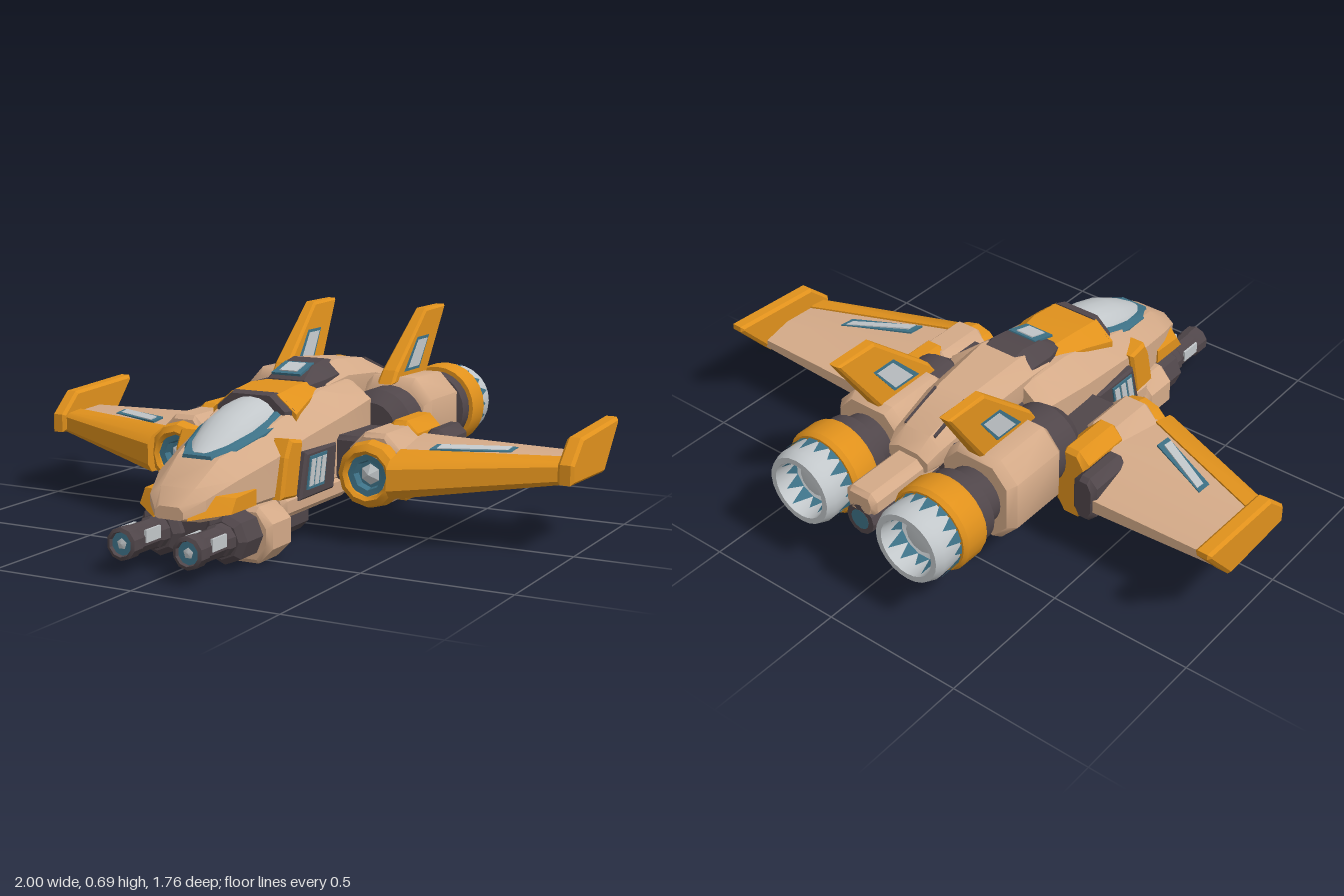
import * as THREE from 'three';
import { toCreasedNormals } from 'three/addons/utils/BufferGeometryUtils.js';

const mat = (name, color) => Object.assign(new THREE.MeshStandardMaterial({ color }), { name });

// Skin a list of [z, [[x, y], ...]] rings, ordered front to back, counter-clockwise seen from +z
function skin(rings, crease = 0.6) {
  const n = rings[0][1].length, pos = [], idx = [];
  rings.forEach(([z, pts]) => pts.forEach(([x, y]) => pos.push(x, y, z)));
  for (let i = 0; i < rings.length - 1; i++) {
    for (let j = 0; j < n; j++) {
      const a = i * n + j, b = i * n + (j + 1) % n;
      idx.push(a, a + n, b, b, a + n, b + n);
    }
  }
  const last = (rings.length - 1) * n;
  for (let j = 1; j < n - 1; j++) {
    idx.push(0, j, j + 1, last, last + j + 1, last + j);
  }
  const g = new THREE.BufferGeometry();
  g.setAttribute('position', new THREE.Float32BufferAttribute(pos, 3));
  g.setIndex(idx);
  return toCreasedNormals(g, crease);
}

// Eight-sided hull: rows of [z, halfWidth, bottom, lowerSide, upperSide, top, topHalf, bottomHalf]
const hull = (rows, cx = 0, crease = 0.6) => skin(rows.map(([z, w, y0, y1, y2, y3, t, b]) =>
  [z, [[b, y0], [w, y1], [w, y2], [t, y3], [-t, y3], [-w, y2], [-w, y1], [-b, y0]].map(([x, y]) => [x + cx, y])]), crease);

// Chamfered block along z, slightly pinched at both ends
function block(cx, w, y0, y1, zf, zb, c = 0.03, e = 0.015) {
  const row = (z, d) => [z, w - d, y0 + d, y0 + c + d, y1 - c - d, y1 - d, w - c, w - c];
  return hull([row(zf, e), row(zf - e, 0), row(zb + e, 0), row(zb, e)], cx);
}

// Rings given as [x, [[z, y], ...]], skinned along the span from the tip inward
const span = (rings) => skin(rings.map(([x, pts]) => [x, pts.map(([z, y]) => [-z, y])])).rotateY(Math.PI / 2);

// Side-profile plate from [z, y] points, with thickness along x
function sidePlate(pts, thick, cx, bevel = 0) {
  const shape = new THREE.Shape(pts.map(([z, y]) => new THREE.Vector2(-z, y)));
  const g = new THREE.ExtrudeGeometry(shape, { depth: thick - 2 * bevel, bevelEnabled: bevel > 0,
    bevelSize: bevel, bevelThickness: bevel, bevelOffset: -bevel, bevelSegments: 1 });
  return g.translate(0, 0, bevel - thick / 2).rotateY(Math.PI / 2).translate(cx, 0, 0);
}

// Lathe around the z axis: [radius, z] points from front to back
const turned = (pts, cx, cy, seg = 24) => toCreasedNormals(
  new THREE.LatheGeometry(pts.map(([r, z]) => new THREE.Vector2(r, -z)).map((p) => p), seg)
    .rotateX(-Math.PI / 2).translate(cx, cy, 0), 0.5);

function flipped(geo) {
  const g = (geo.index ? geo.toNonIndexed() : geo.clone()).scale(-1, 1, 1);
  for (const key of ['position', 'normal']) {
    const a = g.attributes[key].array;
    for (let i = 0; i < a.length; i += 9) {
      for (let k = 3; k < 6; k++) [a[i + k], a[i + k + 3]] = [a[i + k + 3], a[i + k]];
    }
  }
  return g;
}

export function createModel() {
  const model = new THREE.Group();
  const tan = mat('tan hull', 0xd4aa88), orange = mat('orange trim', 0xe0911c);
  const dark = mat('dark metal', 0x50464a), light = mat('pale grey', 0xc2c7ca), teal = mat('teal', 0x3d7186);
  [tan, orange, dark, light, teal].forEach((m) => { m.side = THREE.DoubleSide; });
  const add = (name, geo, m) => {
    const mesh = new THREE.Mesh(geo, m);
    mesh.name = name;
    model.add(mesh);
  };
  const pair = (name, geo, m) => {
    add(name + 'Left', geo, m);
    add(name + 'Right', flipped(geo), m);
  };

  // Fuselage
  add('fuselage', hull([
    [0.79, 0.05, 0.175, 0.18, 0.2, 0.215, 0.035, 0.04],
    [0.74, 0.1, 0.165, 0.185, 0.235, 0.265, 0.06, 0.08],
    [0.62, 0.145, 0.16, 0.19, 0.28, 0.34, 0.075, 0.11],
    [0.45, 0.18, 0.16, 0.2, 0.32, 0.385, 0.11, 0.13],
    [0.28, 0.195, 0.16, 0.2, 0.36, 0.435, 0.13, 0.14],
    [0.05, 0.215, 0.16, 0.2, 0.4, 0.475, 0.12, 0.14],
    [-0.13, 0.22, 0.16, 0.2, 0.43, 0.49, 0.13, 0.14],
    [-0.18, 0.2, 0.17, 0.21, 0.42, 0.48, 0.12, 0.13]]), tan);
  add('rearHull', block(0, 0.13, 0.18, 0.46, -0.15, -0.52, 0.05), dark);
  add('spine', hull([
    [-0.02, 0.11, 0.42, 0.44, 0.48, 0.53, 0.07, 0.11],
    [-0.15, 0.125, 0.42, 0.44, 0.5, 0.553, 0.075, 0.12],
    [-0.38, 0.115, 0.4, 0.42, 0.48, 0.53, 0.06, 0.11],
    [-0.56, 0.095, 0.38, 0.39, 0.44, 0.475, 0.05, 0.09],
    [-0.61, 0.08, 0.37, 0.38, 0.41, 0.43, 0.04, 0.07]]), tan);
  pair('spineGroove', sidePlate([[-0.4, 0.515], [-0.55, 0.468], [-0.55, 0.476], [-0.4, 0.53]], 0.008, 0.06), dark);

  // Tail boom with small exhaust
  add('tailBoom', block(0, 0.062, 0.32, 0.41, -0.5, -0.84, 0.025), tan);
  add('tailExhaust', turned([[0.055, -0.5], [0.055, -0.84], [0.035, -0.84], [0.03, -0.8], [0, -0.8]], 0, 0.3, 12), dark);
  add('tailExhaustGlow', turned([[0.036, -0.842], [0, -0.842]], 0, 0.3, 12), teal);

  // Canopy, its frame and the band behind it
  const dome = (rows, d) => skin(rows.map(([z, w, y0, y1]) => {
    const pts = [];
    for (let i = 0; i <= 10; i++) {
      const a = Math.PI * i / 10;
      pts.push([(w + d) * Math.cos(a), y0 + (y1 + d - y0) * Math.sin(a) ** 0.8]);
    }
    return [z, pts];
  }), 0.9);
  add('canopyGlass', dome([[0.615, 0.045, 0.32, 0.352], [0.55, 0.08, 0.33, 0.395], [0.45, 0.105, 0.345, 0.446],
    [0.36, 0.112, 0.36, 0.472], [0.28, 0.105, 0.37, 0.485]], 0), light);
  add('canopyFrame', hull([[0.63, 0.055, 0.3, 0.31, 0.33, 0.345, 0.05, 0.05], [0.55, 0.096, 0.3, 0.31, 0.355, 0.37, 0.08, 0.09],
    [0.42, 0.124, 0.3, 0.31, 0.39, 0.405, 0.1, 0.11], [0.28, 0.13, 0.3, 0.31, 0.42, 0.445, 0.1, 0.11]]), teal);
  add('canopyArch', hull([[0.3, 0.125, 0.38, 0.4, 0.44, 0.488, 0.07, 0.12],
    [0.265, 0.145, 0.38, 0.4, 0.44, 0.495, 0.08, 0.14]]), dark);
  add('cockpitBand', hull([[0.275, 0.155, 0.38, 0.39, 0.43, 0.49, 0.085, 0.15], [0.15, 0.135, 0.4, 0.42, 0.46, 0.504, 0.085, 0.13],
    [0.03, 0.105, 0.42, 0.44, 0.47, 0.5, 0.07, 0.1]]), orange);
  add('dorsalCap', hull([[0.06, 0.085, 0.44, 0.46, 0.49, 0.505, 0.065, 0.08], [-0.01, 0.105, 0.44, 0.46, 0.5, 0.545, 0.06, 0.1],
    [-0.1, 0.11, 0.44, 0.46, 0.51, 0.56, 0.06, 0.1], [-0.155, 0.11, 0.44, 0.46, 0.5, 0.55, 0.06, 0.1]]), dark);
  const hatch = (w, y, l) => new THREE.BoxGeometry(w, 0.008, l).rotateX(0.27).translate(0, y, 0.017);
  add('dorsalHatch', hatch(0.11, 0.536, 0.1), teal);
  add('dorsalWindow', hatch(0.065, 0.54, 0.07), light);

  // Nose cheeks, side straps and louvred side panels
  pair('noseCheek', span([[0.165, [[0.7, 0.19], [0.55, 0.19], [0.55, 0.24], [0.67, 0.235]]],
    [0.06, [[0.785, 0.175], [0.55, 0.17], [0.55, 0.26], [0.74, 0.25]]]]), orange);
  pair('sideStrap', sidePlate([[0.46, 0.19], [0.36, 0.18], [0.32, 0.36], [0.4, 0.375], [0.43, 0.32]], 0.07, 0.172, 0.01), orange);
  pair('sidePanel', sidePlate([[0.36, 0.17], [0.13, 0.17], [0.11, 0.32], [0.32, 0.32]], 0.05, 0.193, 0.008), dark);
  pair('louvreBacking', sidePlate([[0.325, 0.2], [0.21, 0.2], [0.19, 0.305], [0.3, 0.305]], 0.008, 0.219), teal);
  for (let i = 0; i < 3; i++) {
    const z = 0.315 - i * 0.036;
    pair('louvre' + i, sidePlate([[z, 0.21], [z - 0.025, 0.21], [z - 0.045, 0.295], [z - 0.02, 0.295]], 0.008, 0.222), light);
  }

  // Belly
  add('gunCradle', block(0, 0.14, 0.07, 0.18, 0.64, 0.3), dark);
  add('bellyKeel', block(0, 0.13, 0.085, 0.2, 0.32, -0.16), dark);
  pair('bellyPod', block(0.085, 0.055, 0.03, 0.14, 0.3, 0.15, 0.03), dark);
  pair('bellyRail', block(0.16, 0.045, 0.12, 0.2, 0.44, 0.0, 0.02), tan);
  add('bellyRear', block(0, 0.1, 0.12, 0.24, -0.14, -0.38, 0.03), tan);
  add('rearSkid', block(0, 0.07, 0.17, 0.25, -0.36, -0.52, 0.03), dark);

  // Nose guns
  pair('gunCowl', block(0.13, 0.093, 0.005, 0.185, 0.565, 0.42, 0.05), tan);
  pair('gunHousing', turned([[0, 0.68], [0.06, 0.68], [0.08, 0.66], [0.08, 0.4], [0, 0.4]], 0.118, 0.1, 8), dark);
  pair('gunBarrel', turned([[0.036, 0.865], [0.04, 0.88], [0.052, 0.875], [0.052, 0.83], [0.047, 0.82], [0.047, 0.72],
    [0.053, 0.71], [0.053, 0.66]], 0.118, 0.103, 10), dark);
  pair('gunMuzzle', turned([[0, 0.868], [0.04, 0.868]], 0.118, 0.103, 8), teal);
  pair('gunCore', turned([[0, 0.875], [0.018, 0.87]], 0.118, 0.103, 5), light);
  for (const dx of [-0.045, 0.045]) {
    pair('barrelWindow', new THREE.BoxGeometry(0.008, 0.04, 0.08).translate(0.118 + dx, 0.118, 0.77), light);
  }

  // Wing-root pods with front intakes
  const px = 0.362, py = 0.235;
  pair('podLink', block(0.26, 0.08, 0.19, 0.34, 0.1, -0.2), dark);
  pair('podBody', block(px, 0.092, 0.13, 0.365, 0.135, -0.08, 0.055), tan);
  pair('podRing', turned([[0.07, 0.13], [0.07, 0.185], [0.082, 0.195], [0.104, 0.18], [0.112, 0.15], [0.11, 0.11], [0.08, 0.1]], px, py, 12), orange);
  pair('podIntake', turned([[0, 0.15], [0.045, 0.15], [0.05, 0.178], [0.071, 0.18]], px, py, 8), teal);
  pair('podCore', turned([[0, 0.175], [0.035, 0.155]], px, py, 6), light);
  pair('podRear', block(px + 0.008, 0.062, 0.11, 0.38, -0.04, -0.25, 0.04), orange);

  // Wings
  pair('wingRoot', block(0.46, 0.045, 0.175, 0.345, -0.12, -0.305, 0.03), dark);
  pair('wingPanel', span([
    [0.96, [[-0.06, 0.235], [-0.2, 0.24], [-0.3, 0.25], [-0.3, 0.28], [-0.2, 0.305], [-0.06, 0.3]]],
    [0.43, [[0.14, 0.18], [-0.1, 0.19], [-0.3, 0.22], [-0.3, 0.27], [-0.1, 0.335], [0.14, 0.31]]]]), tan);
  pair('wingLeadingEdge', span([
    [0.97, [[0.0, 0.245], [-0.015, 0.232], [-0.085, 0.23], [-0.085, 0.308], [-0.015, 0.302], [0.0, 0.29]]],
    [0.45, [[0.225, 0.2], [0.2, 0.17], [0.115, 0.17], [0.115, 0.319], [0.2, 0.295], [0.225, 0.27]]]]), orange);
  // Recessed panel seen on both wing faces
  const slab = (x0, x1, m, d) => span([
    [x1, [[-0.045 - m, 0.217 - d], [-0.105 + m, 0.218 - d], [-0.105 + m, 0.315 + d], [-0.045 - m, 0.309 + d]]],
    [x0, [[0.068 - m, 0.19 - d], [0.005 + m, 0.19 - d], [0.005 + m, 0.322 + d], [0.068 - m, 0.316 + d]]]]);
  pair('wingInsetFrame', slab(0.53, 0.765, 0, 0.003), teal);
  pair('wingInset', slab(0.55, 0.75, 0.012, 0.006), light);
  pair('winglet', sidePlate([[0.025, 0.235], [0.025, 0.3], [-0.06, 0.375], [-0.41, 0.39], [-0.41, 0.37], [-0.28, 0.225]], 0.055, 0.9725, 0.01), orange);

  // Engines
  const ex = 0.222, ey = 0.325;
  pair('engineIntake', turned([[0, -0.13], [0.09, -0.13], [0.13, -0.18], [0.13, -0.32]], ex, ey), dark);
  pair('nacelle', hull([[-0.28, 0.125, 0.2, 0.26, 0.39, 0.45, 0.075, 0.075], [-0.31, 0.145, 0.17, 0.24, 0.41, 0.482, 0.08, 0.08],
    [-0.52, 0.145, 0.17, 0.24, 0.41, 0.478, 0.08, 0.08], [-0.55, 0.125, 0.19, 0.25, 0.4, 0.46, 0.07, 0.07]], ex, 0.9), tan);
  pair('engineCollar', turned([[0.1, -0.54], [0.105, -0.61], [0.13, -0.615], [0.13, -0.68], [0, -0.68]], ex, ey), dark);
  pair('engineRing', turned([[0.11, -0.67], [0.145, -0.67], [0.15, -0.685], [0.15, -0.76], [0.14, -0.775], [0.11, -0.775]], ex, ey), orange);
  pair('nozzle', turned([[0.128, -0.76], [0.131, -0.85], [0.12, -0.88], [0.1, -0.88], [0.09, -0.8], [0.065, -0.79]], ex, ey), light);
  pair('nozzleThroat', turned([[0.1, -0.785], [0.06, -0.785]], ex, ey), teal);
  pair('nozzleCore', turned([[0.068, -0.788], [0.06, -0.81], [0, -0.815]], ex, ey, 12), light);
  // Jagged heat marks outside and inside the nozzle
  const teeth = (r0, r1, z0, z1, n) => {
    const pos = [], p = (a, r, z) => pos.push(ex + r * Math.cos(a), ey + r * Math.sin(a), z);
    for (let i = 0; i < n; i++) {
      const a = i / n * Math.PI * 2, s = Math.PI / n, len = 0.6 + 0.4 * ((i * 5) % 3) / 2;
      p(a - s, r0, z0);
      p(a, r0 + (r1 - r0) * len, z0 + (z1 - z0) * len);
      p(a + s, r0, z0);
    }
    const g = new THREE.BufferGeometry();
    g.setAttribute('position', new THREE.Float32BufferAttribute(pos, 3));
    g.computeVertexNormals();
    return g;
  };
  pair('heatMarks', teeth(0.134, 0.135, -0.77, -0.84, 18), teal);
  pair('innerHeatMarks', teeth(0.088, 0.096, -0.8, -0.87, 12), teal);

  // Tail fins, thinner and leaning out toward the top
  const lean = (g) => {
    const p = g.attributes.position;
    for (let i = 0; i < p.count; i++) {
      const k = (p.getY(i) - 0.46) / 0.24;
      p.setX(i, 0.21 + 0.013 * k + p.getX(i) * (1 - 0.35 * k));
    }
    g.computeVertexNormals();
    return g;
  };
  pair('tailFin', lean(sidePlate([[-0.26, 0.46], [-0.29, 0.505], [-0.52, 0.7], [-0.69, 0.7], [-0.53, 0.46]], 0.066, 0, 0.01)), orange);
  pair('finInsetFrame', lean(sidePlate([[-0.345, 0.495], [-0.45, 0.605], [-0.545, 0.605], [-0.465, 0.495]], 0.07, 0)), teal);
  pair('finInset', lean(sidePlate([[-0.375, 0.505], [-0.455, 0.595], [-0.53, 0.595], [-0.46, 0.505]], 0.074, 0)), light);

  return model;
}
